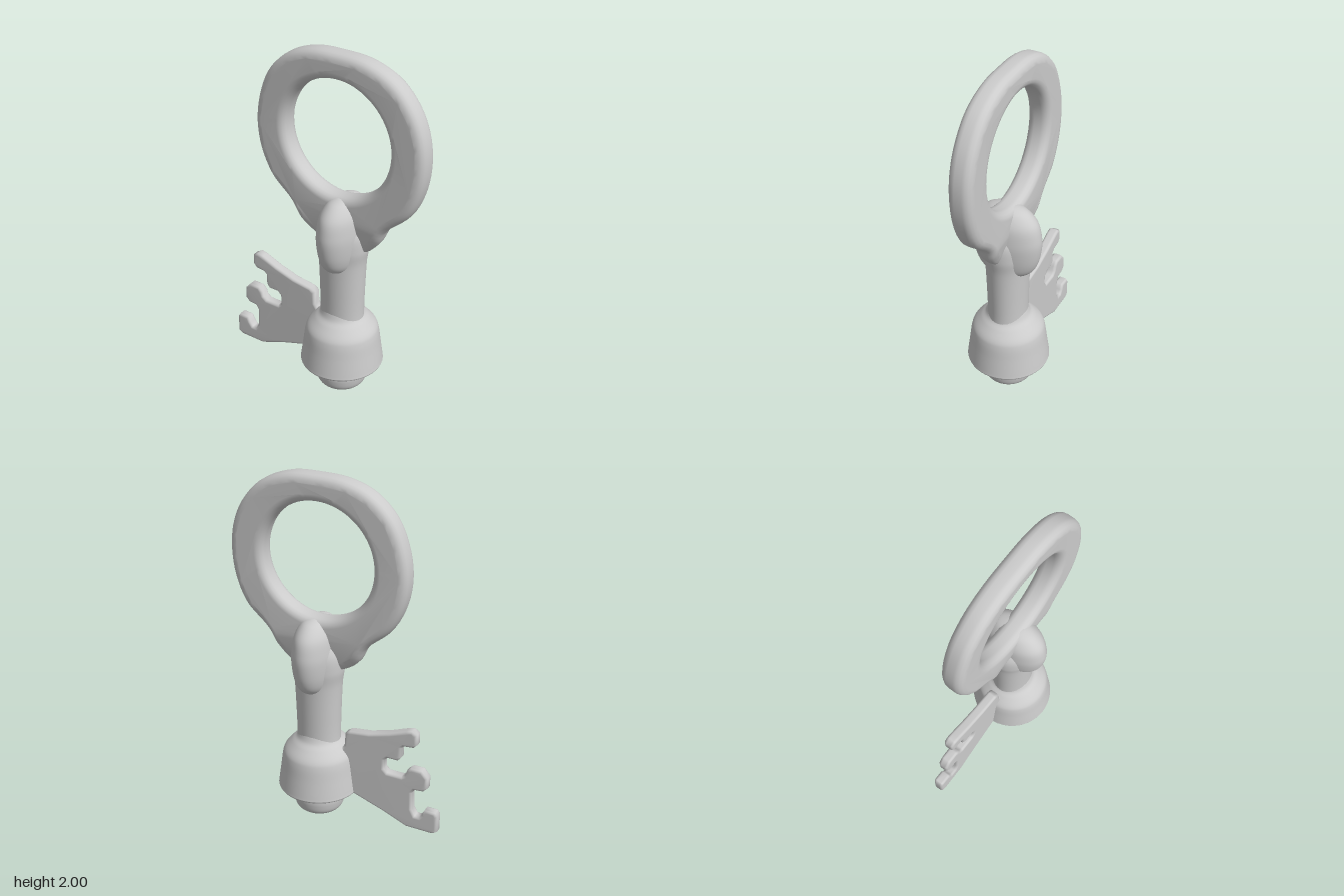
import * as THREE from 'three';
import { mergeVertices } from 'three/addons/utils/BufferGeometryUtils.js';

const AXIS = 0.118; // x of the key's stem
const material = new THREE.MeshStandardMaterial({ color: 0xcccccc, side: THREE.DoubleSide });
const vectors = (pairs) => pairs.map(([x, y]) => new THREE.Vector2(x, y));

// Rounded plate of given thickness, centred on z = 0
function plate(shape, thickness, bevel, curveSegments) {
  const depth = thickness - 2 * bevel;
  const geometry = new THREE.ExtrudeGeometry(shape, {
    depth, curveSegments, bevelThickness: bevel, bevelSize: bevel, bevelOffset: -bevel, bevelSegments: 4,
  });
  geometry.translate(0, 0, -depth / 2);
  return geometry;
}

// Welded, area-weighted normals: soft rims and flat faces
function smooth(geometry) {
  geometry.deleteAttribute('normal');
  geometry.deleteAttribute('uv');
  const welded = mergeVertices(geometry, 1e-4);
  welded.computeVertexNormals();
  return welded;
}

// Turned part around the stem axis, profile listed from bottom to top
function turned(pairs) {
  const profile = new THREE.SplineCurve(vectors(pairs)).getPoints(64);
  profile.forEach((p) => { p.x = Math.max(p.x, 0); });
  return new THREE.LatheGeometry(profile, 48);
}

function bowGeometry() {
  const outline = vectors([
    [0.1, 2.0], [-0.06, 1.99], [-0.2, 1.94], [-0.32, 1.83], [-0.388, 1.68], [-0.412, 1.52],
    [-0.388, 1.36], [-0.315, 1.215], [-0.185, 1.095], [-0.135, 1.0], [-0.04, 0.93], [0.115, 0.9],
    [0.26, 0.91], [0.355, 1.0], [0.4, 1.09], [0.535, 1.22], [0.6, 1.37], [0.62, 1.53],
    [0.602, 1.67], [0.545, 1.8], [0.435, 1.92], [0.275, 1.988],
  ]);
  const curve = new THREE.CatmullRomCurve3(outline.map((p) => new THREE.Vector3(p.x, p.y, 0)), true);
  const shape = new THREE.Shape(curve.getPoints(96).slice(0, -1).map((p) => new THREE.Vector2(p.x, p.y)));
  shape.holes.push(new THREE.Path().absarc(0.1, 1.537, 0.322, 0, Math.PI * 2, true));
  const geometry = plate(shape, 0.13, 0.045, 64);
  // Thin the lower tips where they run into the stem
  const position = geometry.attributes.position;
  for (let i = 0; i < position.count; i++) {
    const k = THREE.MathUtils.smoothstep(position.getY(i), 0.88, 1.1);
    position.setZ(i, position.getZ(i) * (0.35 + 0.65 * k));
  }
  return smooth(geometry);
}

function bitGeometry() {
  const shape = new THREE.Shape(vectors([
    [0.05, 0.44], [-0.035, 0.44], [-0.052, 0.465], [-0.056, 0.54], [-0.085, 0.56], [-0.2, 0.575], [-0.32, 0.61],
    // upper tooth
    [-0.42, 0.65], [-0.455, 0.658], [-0.485, 0.64], [-0.487, 0.58], [-0.465, 0.556], [-0.41, 0.55],
    [-0.395, 0.535], [-0.395, 0.475], [-0.375, 0.45],
    // notch
    [-0.315, 0.45], [-0.295, 0.43], [-0.295, 0.375], [-0.315, 0.355], [-0.4, 0.355], [-0.422, 0.372],
    // middle tooth
    [-0.43, 0.4], [-0.455, 0.425], [-0.52, 0.425], [-0.555, 0.385], [-0.555, 0.32], [-0.53, 0.295],
    [-0.48, 0.29], [-0.465, 0.265], [-0.468, 0.16], [-0.488, 0.122], [-0.513, 0.122],
    // lower hooked tooth
    [-0.53, 0.145], [-0.545, 0.178], [-0.608, 0.178], [-0.622, 0.155], [-0.622, 0.055], [-0.595, 0.037],
    [-0.435, 0.037], [-0.3, 0.093], [-0.09, 0.165], [0.05, 0.18],
  ]));
  return smooth(plate(shape, 0.06, 0.016, 4));
}

export function createModel() {
  const key = new THREE.Group();
  key.name = 'key';
  const add = (name, geometry, x = 0) => {
    const mesh = new THREE.Mesh(geometry, material);
    mesh.name = name;
    mesh.position.x = x;
    key.add(mesh);
    return mesh;
  };

  add('bow', bowGeometry());
  add('bit', bitGeometry());

  // Stem is slightly wider than deep
  add('stem', turned([
    [0.13, 0.4], [0.126, 0.5], [0.129, 0.65], [0.136, 0.82], [0.148, 0.92], [0.14, 1.02], [0.09, 1.1], [0, 1.13],
  ]), AXIS).scale.z = 0.87;

  // Knuckle bulging to the front and back where bow meets stem
  add('knuckle', turned([
    [0, 0.76], [0.09, 0.775], [0.15, 0.815], [0.182, 0.88], [0.198, 0.97], [0.196, 1.04],
    [0.175, 1.12], [0.12, 1.18], [0.06, 1.205], [0, 1.212],
  ]), AXIS + 0.007).scale.x = 0.6;

  add('collar', turned([
    [0, 0.165], [0.12, 0.16], [0.215, 0.157], [0.232, 0.165], [0.231, 0.185], [0.218, 0.28], [0.207, 0.36],
    [0.193, 0.4], [0.155, 0.445], [0.125, 0.475], [0.11, 0.51],
  ]), AXIS);

  add('tip', turned([
    [0, 0], [0.06, 0.001], [0.105, 0.006], [0.134, 0.03], [0.146, 0.075], [0.148, 0.12], [0.148, 0.2],
  ]), AXIS);

  return key;
}
